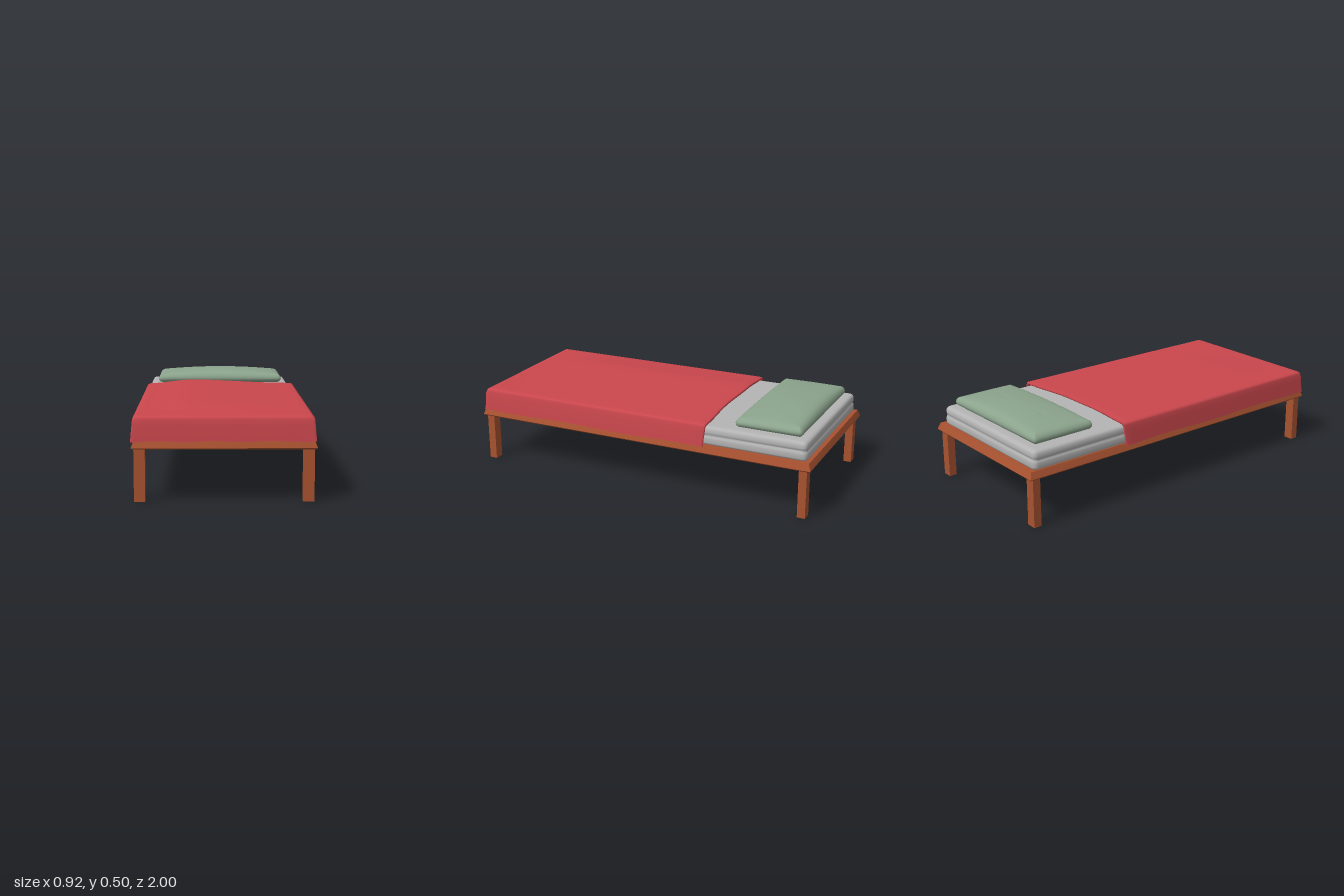
import * as THREE from 'three';
import { toCreasedNormals } from 'three/addons/utils/BufferGeometryUtils.js';

const WOOD = 0xa85230, RED = 0xca474d, GREEN = 0x8ba38c, GREY = 0xb4b4b4;

function makeMesh(name, geometry, color, side = THREE.FrontSide) {
  const mesh = new THREE.Mesh(geometry, new THREE.MeshStandardMaterial({ color, side }));
  mesh.name = name;
  return mesh;
}

function indexed(points, index) {
  const g = new THREE.BufferGeometry();
  g.setAttribute('position', new THREE.Float32BufferAttribute(points, 3));
  g.setIndex(index);
  g.computeVertexNormals();
  return g;
}

// Rounded rectangle as [x, z] points, with subdivided straight edges
function outline(hw, hd, r, n) {
  const pts = [], signs = [[1, 1], [-1, 1], [-1, -1], [1, -1]], arc = 5;
  signs.forEach(([sx, sz], q) => {
    const cx = sx * (hw - r), cz = sz * (hd - r);
    for (let i = 0; i <= arc; i++) {
      const a = (q + i / arc) * Math.PI / 2;
      pts.push([cx + r * Math.cos(a), cz + r * Math.sin(a)]);
    }
    const [x0, z0] = pts[pts.length - 1], [tx, tz] = signs[(q + 1) % 4];
    const x1 = q % 2 ? x0 : tx * (hw - r), z1 = q % 2 ? tz * (hd - r) : z0;
    for (let i = 1; i < n; i++) pts.push([x0 + (x1 - x0) * i / n, z0 + (z1 - z0) * i / n]);
  });
  return pts;
}

// Stack of rounded rectangles: levels are [y, inset], lift adds height at (x, z, level)
function loft(hw, hd, r, levels, n = 1, lift = () => 0) {
  const pos = [], index = [];
  let count = 0;
  levels.forEach(([y, inset], k) => {
    const ring = outline(hw - inset, hd - inset, Math.max(r - inset, 0.001), n);
    count = ring.length;
    for (const [x, z] of ring) pos.push(x, y + lift(x, z, k), z);
  });
  const last = levels.length - 1, bottom = levels.length * count, top = bottom + 1;
  pos.push(0, levels[0][0] + lift(0, 0, 0), 0, 0, levels[last][0] + lift(0, 0, last), 0);
  for (let i = 0; i < count; i++) {
    const j = (i + 1) % count;
    for (let k = 0; k < last; k++) {
      const a = k * count + i, b = k * count + j;
      index.push(a, a + count, b, b, a + count, b + count);
    }
    index.push(bottom, i, j, top, last * count + j, last * count + i);
  }
  return indexed(pos, index);
}

// Draped sheet, open at the head end
function blanketGeometry() {
  const edge = [[0.46, 0], [0.457, 0.33], [0.453, 0.66], [0.45, 0.88], [0.445, 0.96], [0.432, 1]];
  const cols = edge.map(([x, h]) => [-x, h]);
  for (let i = 1; i < 24; i++) cols.push([-0.432 + 0.864 * i / 24, 1]);
  cols.push(...edge.slice().reverse());

  // Rows along the bed: [z, height, inset]
  const rows = [[-0.385, 1, 0.02], [-0.399, 1, 0.014], [-0.403, 1, 0.006], [-0.396, 1, 0]];
  for (let i = 1; i <= 30; i++) rows.push([-0.396 + 1.361 * i / 30, 1, 0]);
  rows.push([0.976, 0.96, 0], [0.982, 0.88, 0], [0.985, 0.66, 0], [0.988, 0.33, 0], [0.99, 0, 0]);

  const pos = [], index = [], w = cols.length;
  rows.forEach(([z, hz, inset], r) => {
    cols.forEach(([x, hx], c) => {
      const h = hx * hz;
      const head = THREE.MathUtils.clamp((0.2 - z) / 0.6, 0, 1);
      const hem = 0.304 + 0.003 * Math.sin(x * 22 + z * 9);
      // Soft hump running down the middle, fading at the foot
      const across = x < -0.17 ? (x + 0.45) / 0.28 : (0.45 - x) / 0.62;
      const hump = 0.022 * THREE.MathUtils.smoothstep(across, 0, 1)
        * THREE.MathUtils.smoothstep(0.98 - z, 0, 0.42);
      pos.push(
        x * (1 - 2 * inset) - 0.003,
        hem + (0.43 - hem) * h + hump * h - inset * h,
        z + head * (0.011 * (1 - h) + 0.006 * Math.sin(x * 11))
      );
      if (r < rows.length - 1 && c < w - 1) {
        const a = r * w + c;
        index.push(a, a + w, a + 1, a + 1, a + w, a + w + 1);
      }
    });
  });
  return indexed(pos, index);
}

export function createModel() {
  const model = new THREE.Group();
  model.name = 'bed';

  // Bed base with sloping sides
  const base = loft(0.46, 1, 0.001, [[0.266, 0.006], [0.273, 0], [0.31, 0.014]]);
  model.add(makeMesh('bedBase', toCreasedNormals(base, 0.4), WOOD));

  // Legs
  for (const sx of [-1, 1]) for (const sz of [-1, 1]) {
    const leg = makeMesh('leg', new THREE.BoxGeometry(0.056, 0.27, 0.044), WOOD);
    leg.position.set(sx * 0.42, 0.135, sz * 0.957);
    model.add(leg);
  }

  // Mattress with a shallow groove around its side
  const mattress = makeMesh('mattress', loft(0.438, 0.968, 0.03, [
    [0.308, 0.012], [0.313, 0.004], [0.322, 0], [0.345, 0], [0.355, 0.003], [0.362, 0.009],
    [0.369, 0.004], [0.38, 0.002], [0.395, 0.004], [0.404, 0.009], [0.409, 0.017],
    [0.411, 0.03], [0.411, 0.05]], 4), GREY);
  mattress.position.x = -0.008;
  model.add(mattress);

  // Blanket
  model.add(makeMesh('blanket', blanketGeometry(), RED, THREE.DoubleSide));

  // Pillow with an arched top
  const levels = [[0.411, 0.05], [0.413, 0.03], [0.42, 0.012], [0.43, 0.002], [0.441, 0], [0.451, 0.004],
    [0.459, 0.011], [0.464, 0.02], [0.467, 0.034], [0.468, 0.06], [0.468, 0.1], [0.468, 0.145], [0.468, 0.184]];
  const arch = (x, z, k) => 0.028 * Math.min(Math.max(k - 3, 0) / 5, 1)
    * (1 - (x / 0.388) ** 2) * (1 - 0.6 * (z / 0.187) ** 2);
  const pillow = makeMesh('pillow', loft(0.388, 0.187, 0.02, levels, 16, arch), GREEN);
  pillow.position.set(-0.003, 0, -0.737);
  model.add(pillow);

  return model;
}
